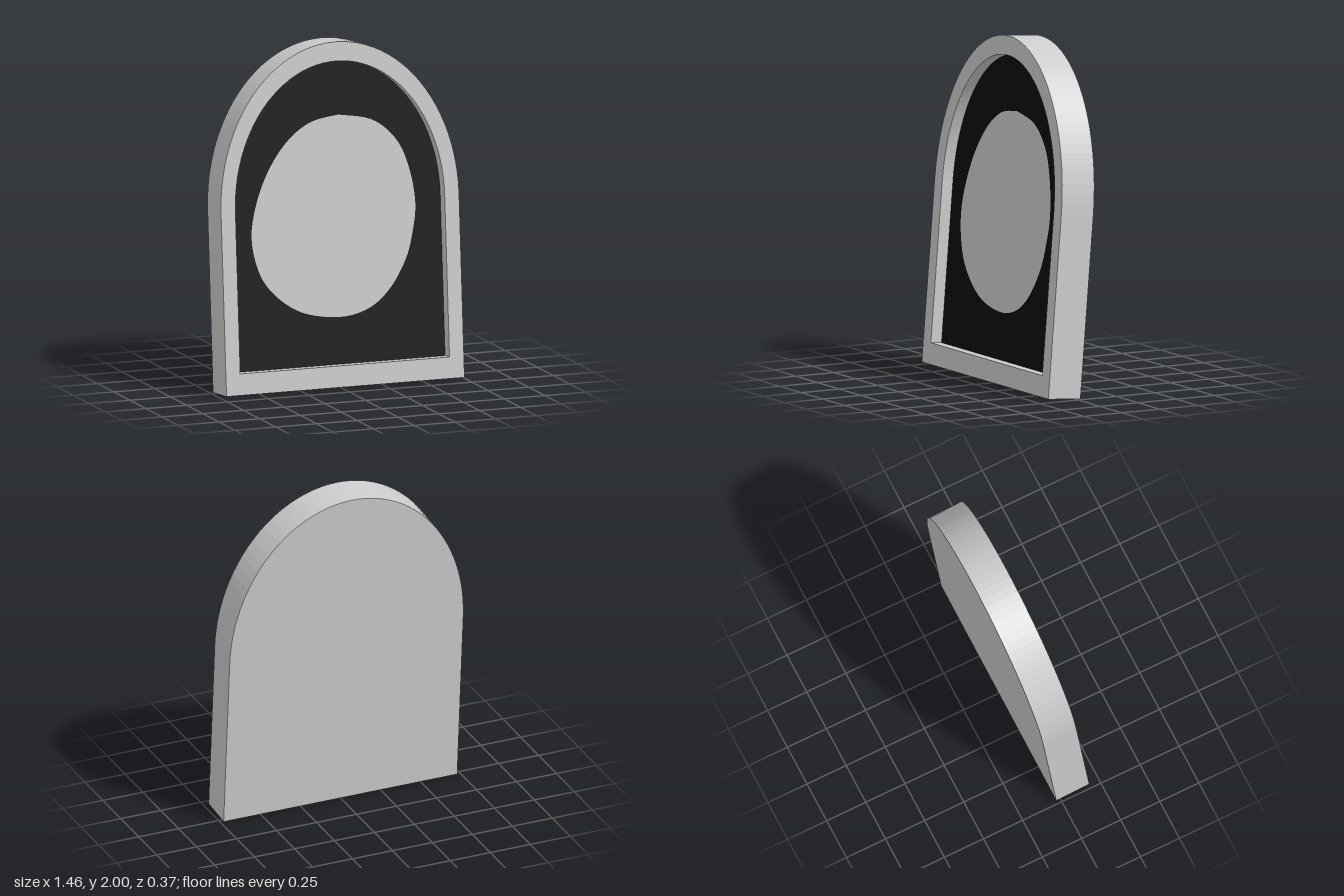
import * as THREE from 'three';

const DEPTH = 0.211;   // full slab thickness
const FLOOR = 0.14;    // height of the recess floor above the back
const SPRING = 1.055;  // height where the arch begins

// Flat-bottomed outline topped by a half ellipse
function arch(PathType, halfWidth, bottom, top) {
  const p = new PathType();
  p.moveTo(-halfWidth, bottom);
  p.lineTo(halfWidth, bottom);
  p.lineTo(halfWidth, SPRING);
  p.absellipse(0, SPRING, halfWidth, top - SPRING, 0, Math.PI, false, 0);
  p.closePath();
  return p;
}

function addMesh(group, name, geometry, material, z) {
  const mesh = new THREE.Mesh(geometry, material);
  mesh.name = name;
  mesh.position.z = z;
  group.add(mesh);
}

export function createModel() {
  const grey = new THREE.MeshStandardMaterial({ color: 0xcccccc });
  grey.name = 'lightGrey';
  const black = new THREE.MeshStandardMaterial({ color: 0x0d0d0d });
  black.name = 'black';

  const plaque = new THREE.Group();
  plaque.name = 'archedPlaque';
  const extrude = (shape, depth) =>
    new THREE.ExtrudeGeometry(shape, { depth, bevelEnabled: false, curveSegments: 24 });

  // Solid backing
  addMesh(plaque, 'backing', extrude(arch(THREE.Shape, 0.73, 0, 1.988), FLOOR), grey, 0);

  // Raised rim around the recess
  const rim = arch(THREE.Shape, 0.73, 0, 1.988);
  rim.holes.push(arch(THREE.Path, 0.642, 0.124, 1.877));
  addMesh(plaque, 'rim', extrude(rim, DEPTH - FLOOR), grey, FLOOR);

  // Dark recess floor
  addMesh(plaque, 'recessPanel',
    new THREE.ShapeGeometry(arch(THREE.Shape, 0.642, 0.124, 1.877), 24), black, FLOOR + 0.001);

  // Uneven oval in the middle of the panel
  const oval = new THREE.SplineCurve([
    [0.03, 1.565], [-0.15, 1.53], [-0.31, 1.41], [-0.445, 1.2], [-0.52, 0.935],
    [-0.487, 0.71], [-0.39, 0.56], [-0.22, 0.445], [0.01, 0.405], [0.19, 0.445],
    [0.32, 0.55], [0.42, 0.71], [0.466, 0.865], [0.487, 1.02], [0.46, 1.21],
    [0.387, 1.39], [0.24, 1.52], [0.03, 1.565],
  ].map(([x, y]) => new THREE.Vector2(x, (y - 0.011) / 0.9968)));
  addMesh(plaque, 'oval',
    new THREE.ShapeGeometry(new THREE.Shape(oval.getPoints(90))), grey, FLOOR + 0.003);

  // Lean the whole plaque backwards on its rear bottom edge
  plaque.rotation.x = -0.0803;
  plaque.position.z = -0.025;

  const model = new THREE.Group();
  model.name = 'leaningArch';
  model.add(plaque);
  return model;
}
